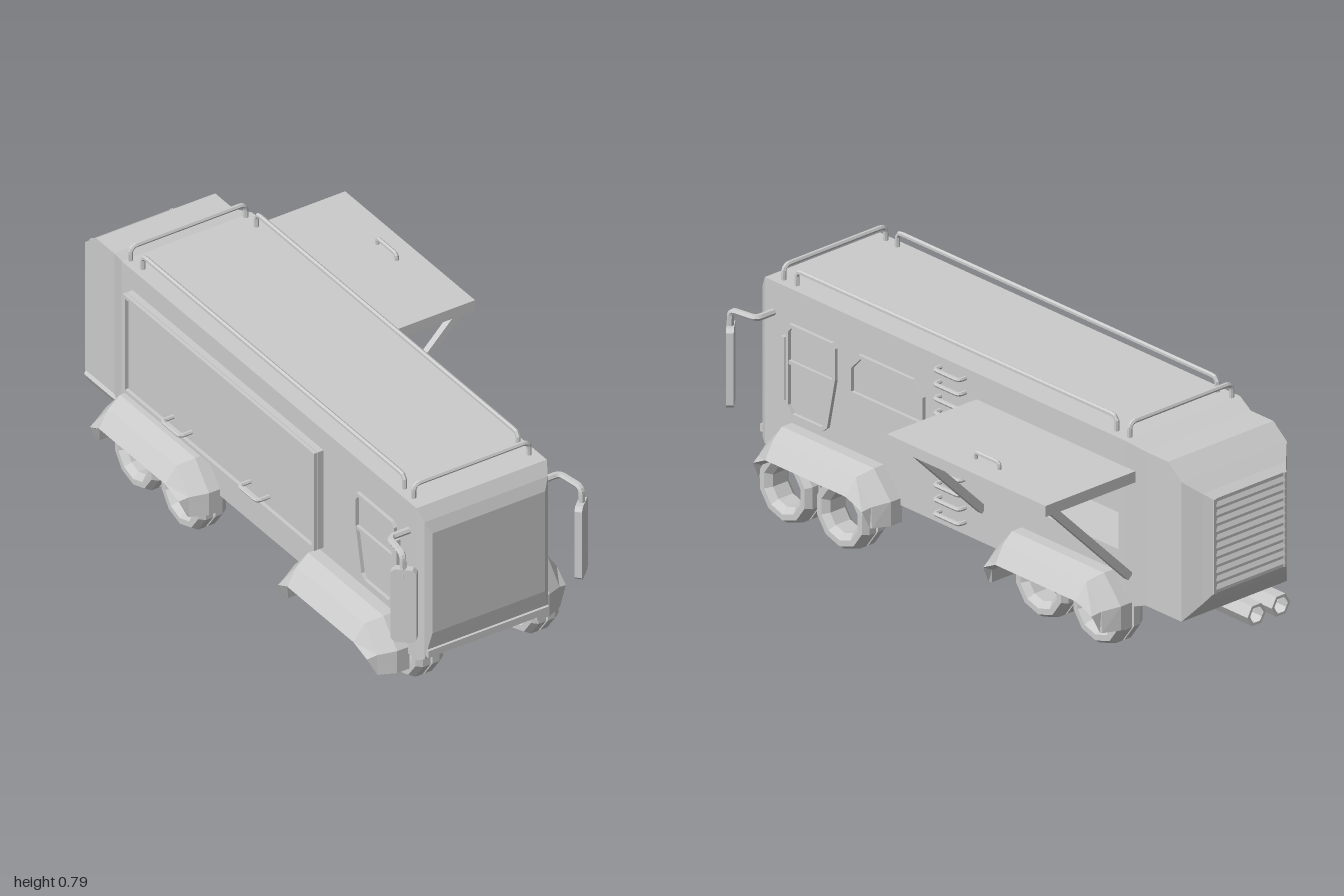
import * as THREE from 'three';

const CX = -0.116, HW = 0.237; // body centre line and half width
const mat = new THREE.MeshStandardMaterial({ color: 0xcccccc, flatShading: true, side: THREE.DoubleSide });
const V = (p) => new THREE.Vector3(...p);

export function createModel() {
  const root = new THREE.Group();
  const add = (name, geo, parent = root) => {
    const m = new THREE.Mesh(geo, mat);
    m.name = name;
    parent.add(m);
    return m;
  };
  // box given by its min and max on each axis
  const box = (name, x0, x1, y0, y1, z0, z1, parent) =>
    add(name, new THREE.BoxGeometry(x1 - x0, y1 - y0, z1 - z0)
      .translate((x0 + x1) / 2, (y0 + y1) / 2, (z0 + z1) / 2), parent);

  // skin through equal-sized rings, with end caps
  const loft = (rings) => {
    const n = rings[0].length, idx = [], last = (rings.length - 1) * n;
    for (let i = 0; i < rings.length - 1; i++)
      for (let j = 0; j < n; j++) {
        const a = i * n + j, b = i * n + (j + 1) % n;
        idx.push(a, b, b + n, a, b + n, a + n);
      }
    for (let j = 1; j < n - 1; j++) idx.push(0, j + 1, j, last, last + j, last + j + 1);
    const g = new THREE.BufferGeometry();
    g.setAttribute('position', new THREE.Float32BufferAttribute(rings.flat(2), 3));
    g.setIndex(idx);
    g.computeVertexNormals();
    return g;
  };
  const section = ([z, hw, y0, y1]) =>
    [[CX - hw, y0, z], [CX + hw, y0, z], [CX + hw, y1, z], [CX - hw, y1, z]];

  // bent pipe with rounded corners
  const pipe = (name, pts, r = 0.008, bend = 0.025, sides = 6, segs = 60, parent = root) => {
    const p = pts.map(V), path = new THREE.CurvePath();
    let from = p[0];
    for (let i = 1; i < p.length - 1; i++) {
      const a = p[i].clone().add(p[i - 1].clone().sub(p[i]).setLength(bend));
      const b = p[i].clone().add(p[i + 1].clone().sub(p[i]).setLength(bend));
      path.add(new THREE.LineCurve3(from, a));
      path.add(new THREE.QuadraticBezierCurve3(a, p[i], b));
      from = b;
    }
    path.add(new THREE.LineCurve3(from, p[p.length - 1]));
    return add(name, new THREE.TubeGeometry(path, segs, r, sides), parent);
  };

  // raised outline on a side wall, points as [z, y], seated at x
  const frame = (name, pts, parent, border = 0.012, depth = 0.012) => {
    const zs = pts.map((p) => p[0]), ys = pts.map((p) => p[1]);
    const z0 = Math.min(...zs), z1 = Math.max(...zs), y0 = Math.min(...ys), y1 = Math.max(...ys);
    const cz = (z0 + z1) / 2, cy = (y0 + y1) / 2;
    const kz = 1 - 2 * border / (z1 - z0), ky = 1 - 2 * border / (y1 - y0);
    const shape = new THREE.Shape(pts.map(([z, y]) => new THREE.Vector2(-z, y)));
    shape.holes.push(new THREE.Path(pts.map(([z, y]) =>
      new THREE.Vector2(-(cz + (z - cz) * kz), cy + (y - cy) * ky))));
    const g = new THREE.ExtrudeGeometry(shape, { depth, bevelEnabled: false }).rotateY(Math.PI / 2);
    return add(name, g.translate(HW, 0, 0), parent);
  };

  // Body: tapered rear, middle with a serving recess, bevelled nose
  add('bodyRear', loft([
    [-1, 0.15, 0.295, 0.61], [-0.975, 0.172, 0.26, 0.627], [-0.93, 0.217, 0.2, 0.665],
    [-0.87, 0.217, 0.2, 0.713], [-0.77, 0.217, 0.2, 0.713], [-0.7, HW, 0.177, 0.732],
    [-0.67, HW, 0.177, 0.732]].map(section)));
  add('bodyFront', loft([
    [-0.13, HW, 0.177, 0.732], [0.905, HW, 0.177, 0.732], [0.93, 0.224, 0.19, 0.69],
    [0.944, 0.205, 0.285, 0.65]].map(section)));
  const xr = CX + HW;
  const notch = new THREE.Shape([[CX - HW, 0.177], [xr, 0.177], [xr, 0.36], [-0.06, 0.36],
    [-0.06, 0.58], [xr, 0.58], [xr, 0.732], [CX - HW, 0.732]].map((p) => new THREE.Vector2(...p)));
  add('bodyMiddle', new THREE.ExtrudeGeometry(notch, { depth: 0.54, bevelEnabled: false }).translate(0, 0, -0.67));
  box('frontLip', CX - 0.22, CX + 0.22, 0.2, 0.225, 0.9, 0.944);

  // Rear grille
  box('grilleTop', CX - 0.15, CX + 0.15, 0.595, 0.61, -1, -0.985);
  for (let i = 0; i < 11; i++) {
    const s = box('grilleSlat', -0.14, 0.14, -0.009, 0.009, -0.006, 0.006);
    s.position.set(CX, 0.315 + i * 0.0275, -0.998);
    s.rotation.x = 0.5;
  }
  for (const s of [-1, 1]) box('grilleSide', CX + s * 0.145 - 0.006, CX + s * 0.145 + 0.006, 0.295, 0.61, -1.003, -0.985);

  // Roof rails
  for (const x of [-0.323, 0.09])
    pipe('roofRail', [[x, 0.72, 0.795], [x, 0.78, 0.795], [x, 0.78, -0.63], [x, 0.72, -0.63]], 0.008, 0.02, 6, 100);
  for (const z of [0.852, -0.69])
    pipe('crossRail', [[-0.328, 0.72, z], [-0.328, 0.78, z], [0.092, 0.78, z], [0.092, 0.72, z]]);

  // Parts that repeat on both sides, in coordinates measured from the centre line
  const fenderRows = [ // outward distance, then [z, y] of foot, shoulder, crown
    [0, 0, 0, [0.28, 0.12], [0.28, 0.2], [0.205, 0.287]],
    [0.045, 0.045, 0.045, [0.28, 0.12], [0.28, 0.2], [0.205, 0.287]],
    [0.1, 0.1, 0.1, [0.255, 0.12], [0.252, 0.19], [0.185, 0.268]],
    [0.102, 0.13, 0.138, [0.248, 0.12], [0.242, 0.18], [0.18, 0.212]],
    [0.095, 0.1, 0.1, [0.24, 0.12], [0.235, 0.165], [0.175, 0.2]],
    [0, 0, 0, [0.24, 0.12], [0.235, 0.165], [0.175, 0.2]]];
  const fenderRings = [[0, 1], [1, 1], [2, 1], [2, -1], [1, -1], [0, -1]].map(([k, dir]) =>
    fenderRows.map((r) => [HW - 0.005 + r[k], r[3 + k][1], dir * r[3 + k][0]]));
  const fenderGeo = loft(fenderRings);
  for (const s of [1, -1]) {
    const side = new THREE.Group();
    side.name = s > 0 ? 'leftSide' : 'rightSide';
    side.position.x = CX;
    side.scale.x = s;
    root.add(side);
    for (const z of [0.58, -0.445]) add('fender', fenderGeo, side).position.z = z;
    // cab door
    frame('doorFrame', [[0.8, 0.34], [0.8, 0.605], [0.785, 0.62], [0.595, 0.62], [0.58, 0.605],
      [0.58, 0.5], [0.615, 0.33], [0.635, 0.313], [0.78, 0.313]], side);
    box('doorWindowSill', HW, HW + 0.01, 0.485, 0.497, 0.59, 0.79, side);
    box('doorHinge', HW, HW + 0.014, 0.36, 0.57, 0.803, 0.818, side);
    // mirror on a bent arm
    pipe('mirrorArm', [[HW - 0.01, 0.63, 0.865], [0.31, 0.63, 0.865], [0.325, 0.63, 0.962], [0.325, 0.55, 0.965]],
      0.011, 0.02, 6, 30, side);
    const shape = new THREE.Shape([[-0.04, -0.12], [-0.028, -0.132], [0.028, -0.132], [0.04, -0.12], [0.04, 0.12],
      [0.028, 0.132], [-0.028, 0.132], [-0.04, 0.12]].map((p) => new THREE.Vector2(...p)));
    const mirror = add('mirror', new THREE.ExtrudeGeometry(shape, { depth: 0.024, bevelEnabled: false })
      .translate(0, 0, -0.012), side);
    mirror.position.set(0.322, 0.448, 0.965);
    mirror.rotation.y = 0.75;
  }

  // Wheels: open ten-sided rings with a grooved tread
  const half = [[0.066, 0.03], [0.085, 0.05], [0.105, 0.05], [0.118, 0.03], [0.118, 0.004], [0.108, 0.002]];
  const profile = [...half.map(([r, y]) => [r, -y]), ...half.slice().reverse(), [0.066, -0.03]]
    .map((p) => new THREE.Vector2(...p));
  const wheelGeo = new THREE.LatheGeometry(profile, 10, Math.PI / 10).rotateZ(Math.PI / 2);
  for (const [z, xs] of [[0.72, [0.17, -0.25]], [0.465, [0.17, -0.25]], [-0.305, [0.062, -0.355]], [-0.56, [0.062, -0.355]]])
    for (const x of xs) add('wheel', wheelGeo, root).position.set(x, 0.12, z);

  // Left side: window, ladder of rungs
  const left = new THREE.Group();
  left.name = 'leftFittings';
  left.position.x = CX;
  root.add(left);
  frame('sideWindow', [[0.52, 0.477], [0.52, 0.57], [0.475, 0.622], [0.235, 0.622], [0.19, 0.575], [0.19, 0.477]], left);
  for (let i = 0; i < 11; i++) {
    const y = 0.22 + i * 0.048;
    pipe('rung', [[xr - 0.01, y, 0.12], [0.15, y, 0.12], [0.15, y, 0.01], [xr - 0.01, y, 0.01]], 0.007, 0.012, 6, 24);
  }

  // Raised serving hatch with rim, struts and handle
  box('hatchPanel', 0.12, 0.49, 0.628, 0.645, -0.745, -0.038);
  box('hatchRim', 0.47, 0.49, 0.608, 0.63, -0.745, -0.038);
  box('hatchRim', 0.12, 0.14, 0.608, 0.63, -0.745, -0.038);
  for (const z of [-0.745, -0.058]) box('hatchRim', 0.12, 0.49, 0.608, 0.63, z, z + 0.02);
  for (const z of [-0.06, -0.712]) {
    const strut = box('hatchStrut', -0.235, 0.235, -0.013, 0.013, -0.011, 0.011);
    strut.position.set(0.285, 0.452, z);
    strut.rotation.z = Math.PI / 4;
  }
  pipe('hatchHandle', [[0.413, 0.635, -0.35], [0.413, 0.667, -0.35], [0.413, 0.667, -0.455], [0.413, 0.635, -0.455]],
    0.007, 0.012, 6, 24);

  // Right side: large raised panel with two handles
  const xl = CX - HW;
  box('sidePanel', xl - 0.022, xl + 0.01, 0.305, 0.66, -0.64, 0.4);
  frame('panelBorder', [[0.4, 0.305], [0.4, 0.66], [-0.64, 0.66], [-0.64, 0.305]], root, 0.012, 0.012)
    .position.x = xl - 0.036 - HW;
  for (const z of [-0.335, 0.085])
    pipe('panelHandle', [[xl, 0.35, z - 0.05], [-0.418, 0.35, z - 0.05], [-0.418, 0.35, z + 0.05], [xl, 0.35, z + 0.05]],
      0.007, 0.012, 6, 24);

  // Twin six-sided exhausts
  for (const x of [-0.272, -0.172]) {
    pipe('exhaust', [[x, 0.2, -0.7], [x, 0.152, -0.79], [x, 0.152, -0.97]], 0.038, 0.03, 6, 16);
    add('exhaustEnd', new THREE.RingGeometry(0.028, 0.038, 6)).position.set(x, 0.152, -0.97);
    add('exhaustBore', new THREE.CylinderGeometry(0.028, 0.028, 0.15, 6, 1, true).rotateX(Math.PI / 2))
      .position.set(x, 0.152, -0.895);
  }
  return root;
}
